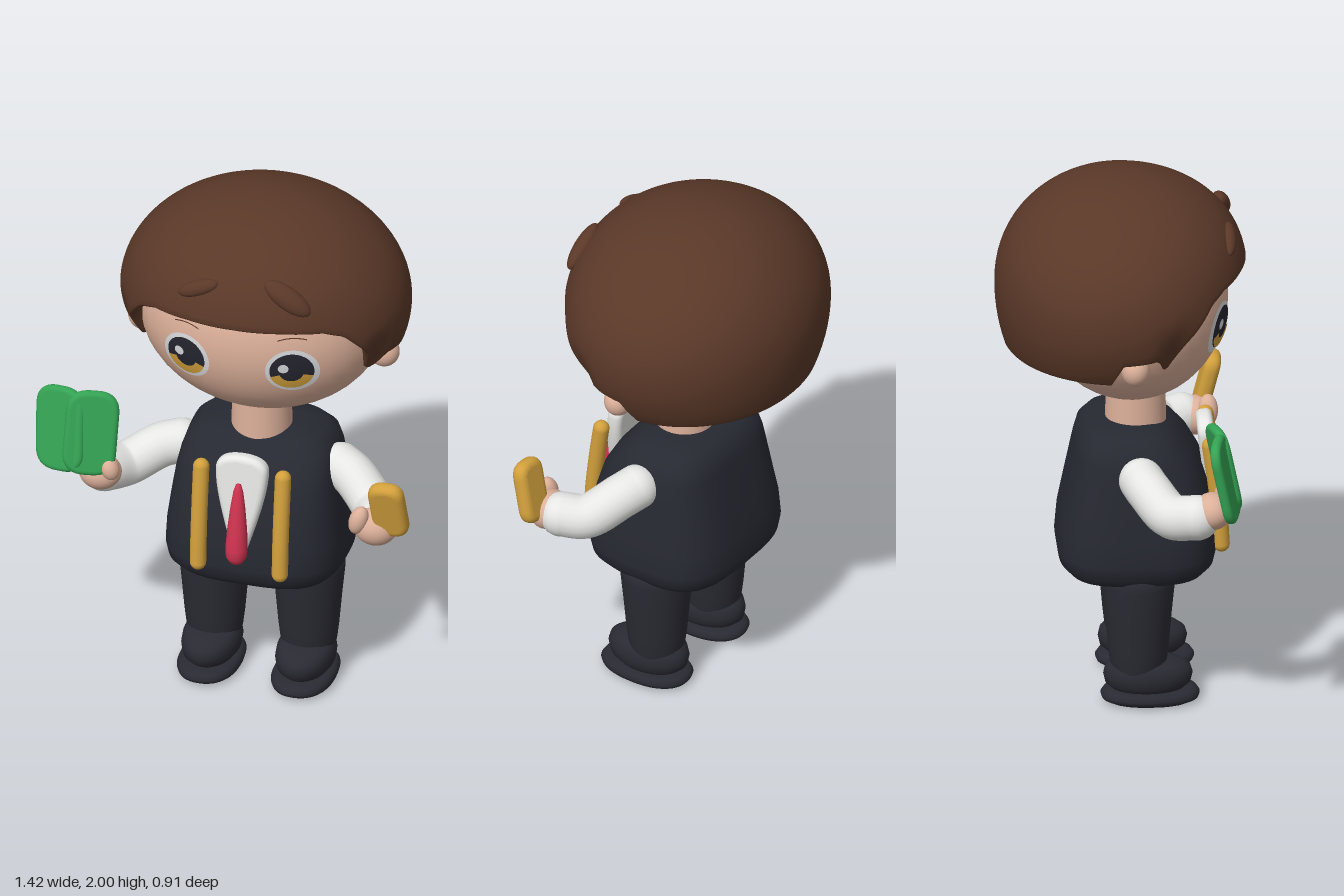
import * as THREE from 'three';
import { mergeVertices } from 'three/addons/utils/BufferGeometryUtils.js';

const CX = 0.07; // body centre line

const mat = (name, color) => {
  const m = new THREE.MeshStandardMaterial({ color });
  m.name = name;
  return m;
};
const V = (p) => new THREE.Vector3(...p);
const bow = (v, n) => Math.sign(v) * Math.abs(v) ** (2 / n); // superellipse coordinate

// Closed rings of points, listed from top to bottom
function loft(rows, cols, point) {
  const pos = [], idx = [];
  for (let j = 0; j < rows; j++)
    for (let i = 0; i < cols; i++) pos.push(...point(j, (i / cols) * Math.PI * 2));
  for (let j = 0; j < rows - 1; j++)
    for (let i = 0; i < cols; i++) {
      const k = (i + 1) % cols, a = j * cols + i, b = j * cols + k, c = a + cols, d = b + cols;
      idx.push(a, c, b, b, c, d);
    }
  const g = new THREE.BufferGeometry();
  g.setAttribute('position', new THREE.Float32BufferAttribute(pos, 3));
  g.setIndex(idx);
  g.computeVertexNormals();
  return g;
}

// Soft-edged plate of a shape, centred in depth
function pillow(shape, depth, bevel) {
  let g = new THREE.ExtrudeGeometry(shape, {
    depth: depth - 2 * bevel, bevelThickness: bevel, bevelSize: bevel, bevelOffset: -bevel,
    bevelSegments: 5, curveSegments: 10,
  });
  g.translate(0, 0, -depth / 2 + bevel);
  g.deleteAttribute('normal');
  g.deleteAttribute('uv');
  g = mergeVertices(g, 1e-4);
  g.computeVertexNormals();
  return g;
}

function roundedRect(w, h, r) {
  const s = new THREE.Shape(), x = w / 2, y = h / 2;
  s.moveTo(-x + r, -y);
  s.lineTo(x - r, -y).quadraticCurveTo(x, -y, x, -y + r);
  s.lineTo(x, y - r).quadraticCurveTo(x, y, x - r, y);
  s.lineTo(-x + r, y).quadraticCurveTo(-x, y, -x, y - r);
  s.lineTo(-x, -y + r).quadraticCurveTo(-x, -y, -x + r, -y);
  return s;
}

// Hairline height by angle from the front, in degrees
const HAIRLINE = [[0, 1.685], [20, 1.682], [38, 1.67], [47, 1.64], [61, 1.52], [68, 1.42], [71, 1.41],
  [75, 1.47], [92, 1.46], [98, 1.37], [181, 1.37]];
function hairline(deg) {
  const i = HAIRLINE.findIndex((p) => p[0] > deg);
  const [a, ya] = HAIRLINE[i - 1], [b, yb] = HAIRLINE[i];
  return THREE.MathUtils.lerp(ya, yb, (deg - a) / (b - a));
}

// Hair shell with a thin lip and a hollow inside
function hairGeometry() {
  const shell = 28, inside = [[0.985, -0.008], [0.955, -0.004], [0.925, 0.03], [0.88, 0.1], [0.7, 0.15]];
  return loft(shell + 1 + inside.length, 180, (j, a) => {
    const deg = Math.abs(((a * 180 / Math.PI + 180) % 360) - 180);
    const phi = Math.acos((hairline(deg) - 1.58) / 0.42) * Math.min(j / shell, 1);
    const y = 1.58 + 0.42 * Math.cos(phi), d = y - 1.58;
    const ring = (ry, e = 2) => Math.sqrt(Math.max(0, 1 - Math.abs(d / ry) ** e));
    const tuck = 1 - 0.09 * Math.exp(-(((deg - 66) / 8) ** 2)) * THREE.MathUtils.clamp((1.6 - y) / 0.18, 0, 1);
    const [f, dy] = j > shell ? inside[j - shell - 1] : [1, 0];
    const isFront = Math.cos(a) > 0;
    const rz = isFront ? 0.463 : 0.459;
    return [CX + 0.537 * ring(d > 0 ? 0.42 : 0.45) * tuck * f * Math.sin(a), y + dy,
      rz * ring(d > 0 ? 0.42 : 0.57, d > 0 ? (isFront ? 2.5 : 2.1) : 2) * tuck * f * Math.cos(a)];
  });
}

// Torso rings: y, half width, front z, back z
const TORSO = [[1.056, 0, 0.03, 0.03], [1.054, 0.14, 0.11, -0.065], [1.04, 0.225, 0.165, -0.123],
  [1.0, 0.268, 0.21, -0.158], [0.95, 0.287, 0.255, -0.172], [0.88, 0.3, 0.295, -0.187],
  [0.78, 0.314, 0.325, -0.208], [0.67, 0.329, 0.342, -0.23], [0.58, 0.334, 0.347, -0.238],
  [0.53, 0.325, 0.336, -0.23], [0.495, 0.295, 0.305, -0.2], [0.472, 0.235, 0.245, -0.145],
  [0.461, 0.15, 0.16, -0.06], [0.46, 0, 0.05, 0.05]];
function torsoGeometry() {
  return loft(TORSO.length, 80, (j, a) => {
    const [y, hw, zf, zb] = TORSO[j];
    return [CX + hw * bow(Math.sin(a), 3.2), y, (zf + zb) / 2 + ((zf - zb) / 2) * bow(Math.cos(a), 3.2)];
  });
}

// Head ellipsoid, also used to lay the eyes on the face
const HEAD = { c: [CX, 1.53, 0.035], r: [0.46, 0.374, 0.357] };
function onFace(g, x, y, lift) {
  const p = g.attributes.position;
  for (let i = 0; i < p.count; i++) {
    const px = p.getX(i) + x, py = p.getY(i) + y;
    const q = 1 - ((px - HEAD.c[0]) / HEAD.r[0]) ** 2 - ((py - HEAD.c[1]) / HEAD.r[1]) ** 2;
    p.setXYZ(i, px, py, HEAD.c[2] + HEAD.r[2] * Math.sqrt(q) + lift);
  }
  g.computeVertexNormals();
  return g;
}

// Sole rings: y, scale
const SOLE = [[0.056, 0], [0.054, 0.82], [0.046, 0.94], [0.03, 1], [0.016, 0.97], [0.005, 0.84], [0.001, 0]];

export function createModel() {
  const skin = mat('skin', 0xdcb09a), hair = mat('hair brown', 0x5a3828), white = mat('shirt white', 0xe6e6e4);
  const navy = mat('vest navy', 0x272932), trouser = mat('trouser charcoal', 0x2a2a33);
  const gold = mat('gold', 0xd2a03c), red = mat('tie red', 0xcf3350), green = mat('green', 0x34a354);
  const eyeWhite = mat('eye white', 0xd9dadd), eyeDark = mat('eye dark', 0x25252f);
  const root = new THREE.Group();
  root.name = 'figure';

  const add = (name, g, m, pos = [0, 0, 0], rot = [0, 0, 0], parent = root) => {
    const mesh = new THREE.Mesh(g, m);
    mesh.name = name;
    mesh.position.set(...pos);
    mesh.rotation.set(...rot);
    parent.add(mesh);
  };
  const ball = (name, m, pos, r, rot) =>
    add(name, new THREE.SphereGeometry(1, 40, 28).scale(...r), m, pos, rot);
  const softTube = (name, m, pts, r) => {
    const group = new THREE.Group();
    group.name = name;
    root.add(group);
    add(name + 'Body', new THREE.TubeGeometry(new THREE.CatmullRomCurve3(pts.map(V)), 24, r, 20), m, [0, 0, 0], [0, 0, 0], group);
    for (const p of [pts[0], pts[pts.length - 1]])
      add(name + 'End', new THREE.SphereGeometry(r, 20, 14), m, p, [0, 0, 0], group);
  };
  const lathe = (pts) => new THREE.LatheGeometry(pts.map((p) => new THREE.Vector2(...p)), 36);

  // Head, ears, neck and hair
  ball('head', skin, HEAD.c, HEAD.r);
  for (const s of [-1, 1]) ball('ear', skin, [CX + s * 0.455, 1.415, 0.03], [0.058, 0.06, 0.052]);
  add('neck', new THREE.CylinderGeometry(0.107, 0.113, 0.22, 36), skin, [CX, 1.11, 0.055]);
  add('hair', hairGeometry(), hair);
  ball('rightFringeLock', hair, [-0.075, 1.797, 0.388], [0.082, 0.03, 0.026], [-0.5, -0.22, 0.35]);
  ball('leftFringeLock', hair, [0.26, 1.802, 0.376], [0.1, 0.042, 0.032], [-0.5, 0.27, -0.5]);

  // Eyes
  for (const x of [CX - 0.2, CX + 0.2]) {
    const y = 1.475;
    add('eyeWhite', onFace(new THREE.RingGeometry(0, 0.094, 40, 6), x, y, 0.004), eyeWhite);
    add('iris', onFace(new THREE.RingGeometry(0, 0.077, 40, 6), x, y + 0.003, 0.008), eyeDark);
    add('irisGlow', onFace(new THREE.RingGeometry(0.042, 0.077, 30, 4, Math.PI + 0.28, Math.PI - 0.56), x, y + 0.003, 0.012), gold);
    add('eyeHighlight', onFace(new THREE.RingGeometry(0, 0.019, 20, 2), x - 0.027, y + 0.02, 0.012), eyeWhite);
    add('brow', onFace(new THREE.RingGeometry(0.137, 0.141, 20, 1, 1.2, 0.74), x, y + 0.002, 0.004), hair);
  }

  // Vest with shirt front, tie and straps
  add('vest', torsoGeometry(), navy);
  const front = new THREE.Shape();
  front.moveTo(-0.022, -0.19);
  front.quadraticCurveTo(0, -0.225, 0.022, -0.19);
  front.bezierCurveTo(0.06, -0.06, 0.098, 0.06, 0.098, 0.15);
  front.bezierCurveTo(0.098, 0.19, 0.06, 0.21, 0, 0.21);
  front.bezierCurveTo(-0.06, 0.21, -0.098, 0.19, -0.098, 0.15);
  front.bezierCurveTo(-0.098, 0.06, -0.06, -0.06, -0.022, -0.19);
  add('shirtFront', pillow(front, 0.06, 0.022), white, [CX, 0.845, 0.326], [-0.11, 0, 0]);
  const tie = lathe([[0.0001, -0.163], [0.024, -0.157], [0.038, -0.135], [0.041, -0.1], [0.037, -0.03],
    [0.028, 0.06], [0.018, 0.13], [0.01, 0.157], [0.0001, 0.163]]);
  add('tie', tie, red, [CX, 0.802, 0.378], [-0.1, 0, 0]);
  for (const x of [CX - 0.154, CX + 0.156])
    softTube('strap', gold, [[x, 0.986, 0.318], [x, 0.86, 0.336], [x, 0.72, 0.352], [x, 0.6, 0.36]], 0.03);

  // Sleeves and hands
  softTube('rightSleeve', white, [[-0.23, 0.915, 0.06], [-0.3, 0.9, 0.085], [-0.41, 0.847, 0.16], [-0.47, 0.865, 0.25]], 0.083);
  softTube('leftSleeve', white, [[0.37, 0.915, 0.06], [0.43, 0.895, 0.09], [0.528, 0.833, 0.17], [0.573, 0.835, 0.25]], 0.083);
  ball('rightHand', skin, [-0.47, 0.89, 0.305], [0.079, 0.068, 0.07]);
  ball('leftHand', skin, [0.573, 0.835, 0.305], [0.082, 0.072, 0.07]);
  ball('rightThumb', skin, [-0.42, 0.935, 0.35], [0.034, 0.045, 0.036], [0, 0, 0.3]);
  ball('leftThumb', skin, [0.52, 0.875, 0.345], [0.035, 0.058, 0.036], [0, 0, -0.3]);

  // Folded green booklet
  const booklet = new THREE.Group();
  booklet.name = 'booklet';
  booklet.position.set(-0.552, 1.073, 0.345);
  booklet.rotation.x = -0.2;
  root.add(booklet);
  const leaf = pillow(roundedRect(0.195, 0.328, 0.085), 0.038, 0.018);
  add('rightLeaf', leaf, green, [-0.058, 0, 0], [0, -0.22, 0.05], booklet);
  add('leftLeaf', leaf, green, [0.058, 0, 0], [0, 0.28, -0.02], booklet);
  softTube('bookletFold', green, [[-0.58, 1.19, 0.328], [-0.558, 1.08, 0.356], [-0.565, 0.955, 0.375]], 0.014);

  // Small gold block in the left hand
  add('goldBlock', pillow(roundedRect(0.135, 0.245, 0.06), 0.06, 0.026), gold, [0.634, 0.941, 0.345], [0.24, 0, 0.07]);

  // Legs and shoes
  for (const s of [-1, 1]) {
    const x = CX + s * 0.178;
    const leg = lathe([[0.09, 0.08], [0.104, 0.16], [0.111, 0.22], [0.123, 0.36], [0.134, 0.47],
      [0.131, 0.51], [0.1, 0.54], [0.0001, 0.55]]);
    add('leg', leg, trouser, [x, 0, 0.055]);
    const shoe = loft(9, 48, (j, a) => {
      const t = (j / 8) * Math.PI, k = Math.sin(t) ** 0.6, c = Math.cos(t);
      const z = Math.cos(a) * k, toe = Math.max(z, 0) * Math.max(c, 0);
      return [0.108 * k * Math.sin(a), 0.07 * bow(c, 2.5) - 0.02 * toe, 0.163 * z];
    });
    add('shoe', shoe, trouser, [x, 0.11, 0.09]);
    const sole = loft(SOLE.length, 48, (j, a) => {
      const [y, k] = SOLE[j];
      return [0.117 * k * bow(Math.sin(a), 2.3), y, 0.181 * k * bow(Math.cos(a), 2.3)];
    });
    add('sole', sole, trouser, [x, 0.003, 0.098]);
  }
  return root;
}
